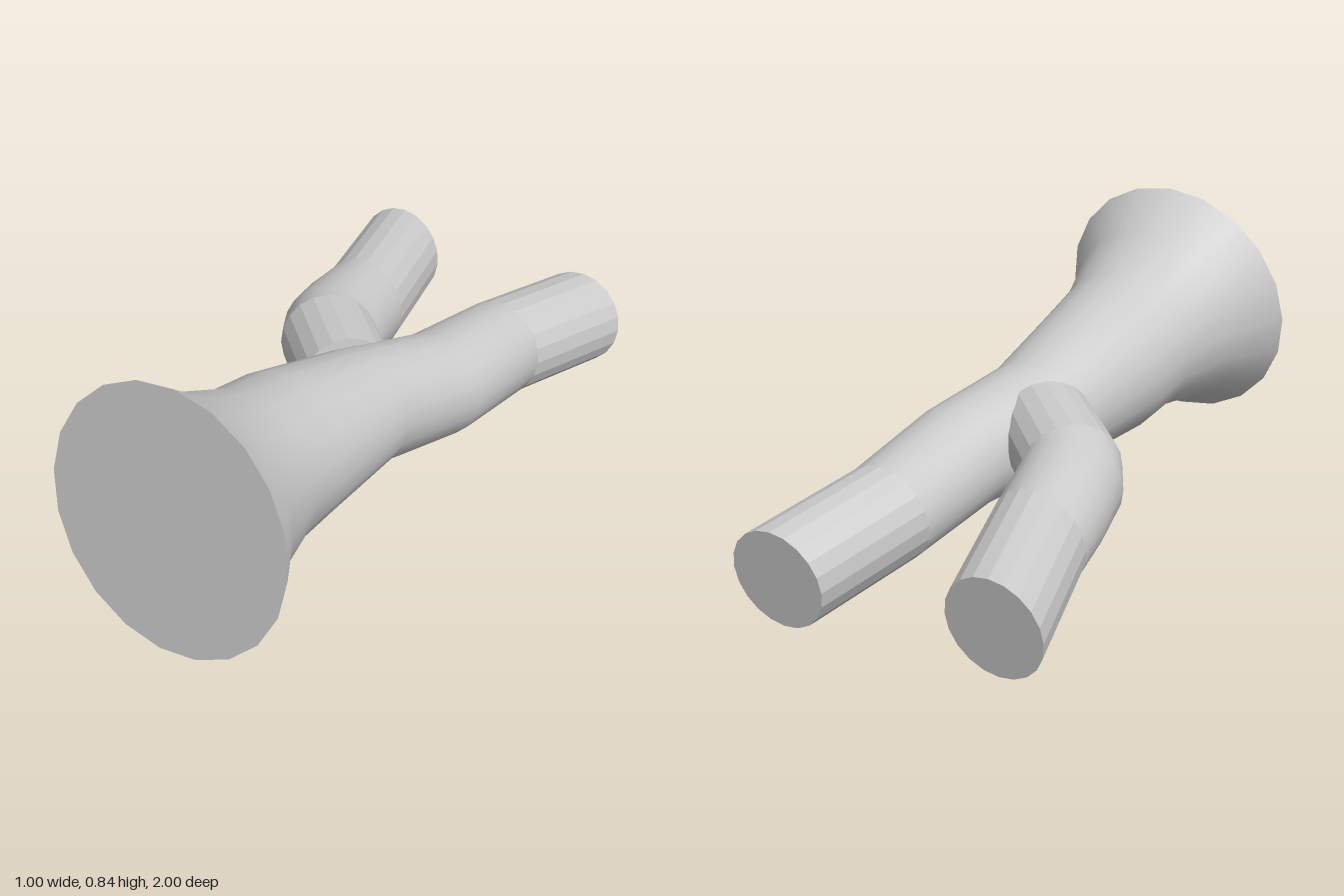
import * as THREE from 'three';

const SIDES = 20;
const smooth = new THREE.MeshStandardMaterial({ color: 0xcccccc });
const faceted = new THREE.MeshStandardMaterial({ color: 0xcccccc, flatShading: true });

// Direction most cross-sections face
const FACING = [-0.055, 0.143, 1];

// Cross-section: centre, radius and the direction it faces
function ring(x, y, z, radius, facing = FACING) {
  const n = new THREE.Vector3(...facing).normalize();
  const right = new THREE.Vector3(0, 1, 0).cross(n).normalize();
  const up = n.clone().cross(right);
  return { centre: new THREE.Vector3(x, y, z), radius, n, right, up };
}

// Skin over a row of cross-sections, running front to back
function loft(rings) {
  const positions = [];
  const index = [];
  for (const { centre, radius, right, up } of rings) {
    for (let j = 0; j < SIDES; j++) {
      const a = (j / SIDES) * Math.PI * 2;
      const p = centre.clone()
        .addScaledVector(up, radius * Math.cos(a))
        .addScaledVector(right, radius * Math.sin(a));
      positions.push(p.x, p.y, p.z);
    }
  }
  for (let i = 0; i < rings.length - 1; i++) {
    for (let j = 0; j < SIDES; j++) {
      const a = i * SIDES + j;
      const b = i * SIDES + ((j + 1) % SIDES);
      index.push(a, b, a + SIDES, b, b + SIDES, a + SIDES);
    }
  }
  const geometry = new THREE.BufferGeometry();
  geometry.setAttribute('position', new THREE.Float32BufferAttribute(positions, 3));
  geometry.setIndex(index);
  geometry.computeVertexNormals();
  return geometry;
}

// Flat disc closing an end; side is 1 for the front, -1 for the back
function cap({ centre, radius, n, right, up }, side) {
  const basis = new THREE.Matrix4().makeBasis(
    right.clone().multiplyScalar(side), up, n.clone().multiplyScalar(side));
  return new THREE.CircleGeometry(radius, SIDES).applyMatrix4(basis.setPosition(centre));
}

function addMesh(group, name, geometry, material) {
  const mesh = new THREE.Mesh(geometry, material);
  mesh.name = name;
  group.add(mesh);
}

export function createModel() {
  const model = new THREE.Group();
  model.name = 'forkedBranch';

  // Trunk: flared cut base at the front, narrowing to the back
  const trunkRings = [
    ring(0.078, 0.442, 0.942, 0.405),
    ring(0.082, 0.425, 0.785, 0.308),
    ring(0.09, 0.395, 0.585, 0.246),
    ring(0.09, 0.37, 0.42, 0.234),
    ring(0.125, 0.317, 0.06, 0.184),
    ring(0.222, 0.268, -0.23, 0.167),
    ring(0.25, 0.218, -0.58, 0.155),
    ring(0.343, 0.158, -0.977, 0.155),
  ];
  const trunk = new THREE.Group();
  trunk.name = 'trunk';
  addMesh(trunk, 'trunkBody', loft(trunkRings.slice(0, -1)), smooth);
  addMesh(trunk, 'trunkTip', loft(trunkRings.slice(-2)), faceted);
  addMesh(trunk, 'trunkBaseCut', cap(trunkRings[0], 1), smooth);
  addMesh(trunk, 'trunkTipCut', cap(trunkRings.at(-1), -1), smooth);
  model.add(trunk);

  // Side branch: leaves the trunk diagonally and bends backwards
  const branchRings = [
    ring(0.045, 0.33, -0.015, 0.15, [0.7, 0.12, 0.7]),
    ring(-0.16, 0.305, -0.22, 0.152, [0.62, 0.13, 0.75]),
    ring(-0.188, 0.285, -0.28, 0.158, [0.3, 0.14, 0.95]),
    ring(-0.212, 0.266, -0.39, 0.158, [0.05, 0.14, 1]),
    ring(-0.235, 0.24, -0.54, 0.155),
    ring(-0.35, 0.19, -0.974, 0.155),
  ];
  const branch = new THREE.Group();
  branch.name = 'sideBranch';
  addMesh(branch, 'branchRoot', loft(branchRings.slice(0, 2)), faceted);
  addMesh(branch, 'branchBend', loft(branchRings.slice(1, -1)), smooth);
  addMesh(branch, 'branchTip', loft(branchRings.slice(-2)), faceted);
  addMesh(branch, 'branchRootCut', cap(branchRings[0], 1), smooth);
  addMesh(branch, 'branchTipCut', cap(branchRings.at(-1), -1), smooth);
  model.add(branch);

  return model;
}
